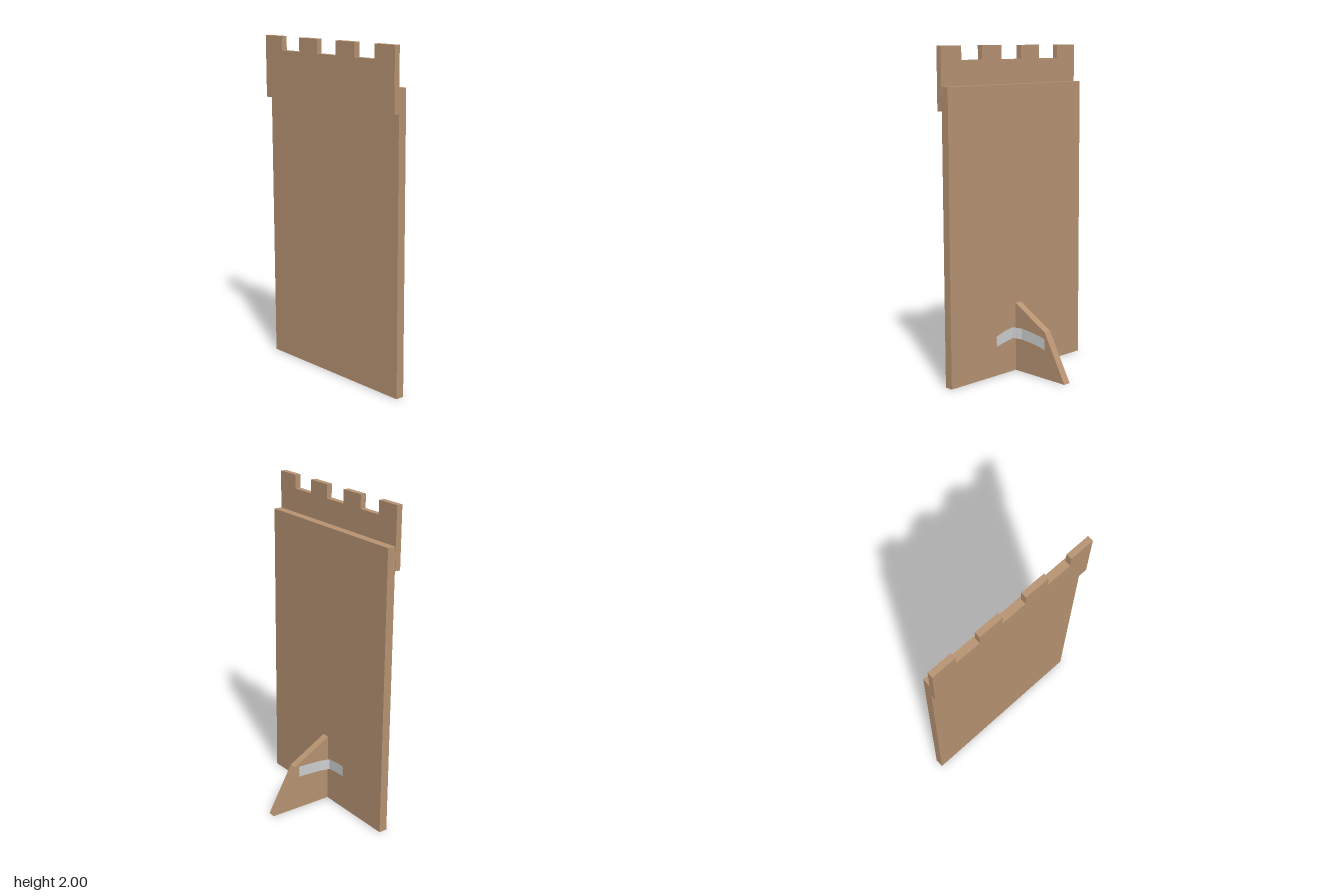
import * as THREE from 'three';

const wood = new THREE.MeshStandardMaterial({ color: 0xb79372 });
wood.name = 'plywood';
const tapeGrey = new THREE.MeshStandardMaterial({ color: 0xcdcfd0, side: THREE.DoubleSide });
tapeGrey.name = 'tapeGrey';

function add(group, name, geometry, material) {
  const mesh = new THREE.Mesh(geometry, material);
  mesh.name = name;
  group.add(mesh);
  return mesh;
}

// Flat outline with thickness, centred on its own depth
function board(points, depth) {
  const shape = new THREE.Shape(points.map(([x, y]) => new THREE.Vector2(x, y)));
  const geometry = new THREE.ExtrudeGeometry(shape, { depth, bevelEnabled: false });
  return geometry.translate(0, 0, -depth / 2);
}

// Upright strip of tape through stations [x, z, bottom, top], with torn ends
function tapeStrip(stations) {
  const tear = [0.003, -0.003, 0.002, -0.002, 0.001, -0.004];
  const rows = tear.length - 1;
  const last = stations.length - 1;
  const positions = [];
  const at = (i, j) => {
    const [x, z, low, high] = stations[i];
    const p = new THREE.Vector3(x, low + (high - low) * j / rows, z);
    if (i === 0 || i === last) {
      const [nx, nz] = stations[i === 0 ? 1 : last - 1];
      p.addScaledVector(new THREE.Vector3(x - nx, 0, z - nz).normalize(), tear[j]);
    }
    return p;
  };
  for (let i = 0; i < last; i++) {
    for (let j = 0; j < rows; j++) {
      const a = at(i, j), b = at(i + 1, j), c = at(i + 1, j + 1), d = at(i, j + 1);
      for (const p of [a, b, c, a, c, d]) positions.push(p.x, p.y, p.z);
    }
  }
  const geometry = new THREE.BufferGeometry();
  geometry.setAttribute('position', new THREE.Float32BufferAttribute(positions, 3));
  geometry.computeVertexNormals();
  return geometry;
}

export function createModel() {
  const model = new THREE.Group();
  model.name = 'towerFlat';

  // Main upright panel
  const panel = add(model, 'panel', new THREE.BoxGeometry(0.053, 1.77, 1.1), wood);
  panel.position.set(-0.1905, 0.885, 0);

  // Battlement board with three square notches
  const outline = [[-0.552, 1.63], [0.552, 1.63], [0.552, 2]];
  for (const centre of [0.318, 0, -0.318]) {
    outline.push([centre + 0.08, 2], [centre + 0.08, 1.917], [centre - 0.08, 1.917], [centre - 0.08, 2]);
  }
  outline.push([-0.552, 2]);
  const battlement = add(model, 'battlement', board(outline, 0.036), wood);
  battlement.rotation.y = Math.PI / 2;
  battlement.position.x = -0.235;

  // Supporting brace
  add(model, 'brace', board([[-0.165, 0], [0.25, 0], [0.087, 0.29], [-0.165, 0.43]], 0.047), wood);

  // Tape bridging the corner on each side of the brace
  const wall = -0.1615, side = 0.026;
  add(model, 'frontTape', tapeStrip([
    [wall, 0.188, 0.184, 0.25], [wall, 0.12, 0.198, 0.268], [wall, 0.05, 0.211, 0.28],
    [-0.105, side, 0.208, 0.277], [-0.02, side, 0.2, 0.268],
    [0.05, side, 0.19, 0.258], [0.088, side, 0.18, 0.25],
  ]), tapeGrey);
  add(model, 'backTape', tapeStrip([
    [wall, -0.183, 0.22, 0.288], [wall, -0.11, 0.22, 0.287], [wall, -0.046, 0.212, 0.281],
    [-0.105, -side, 0.21, 0.279], [-0.02, -side, 0.214, 0.283], [0.058, -side, 0.218, 0.287],
  ]), tapeGrey);

  return model;
}
